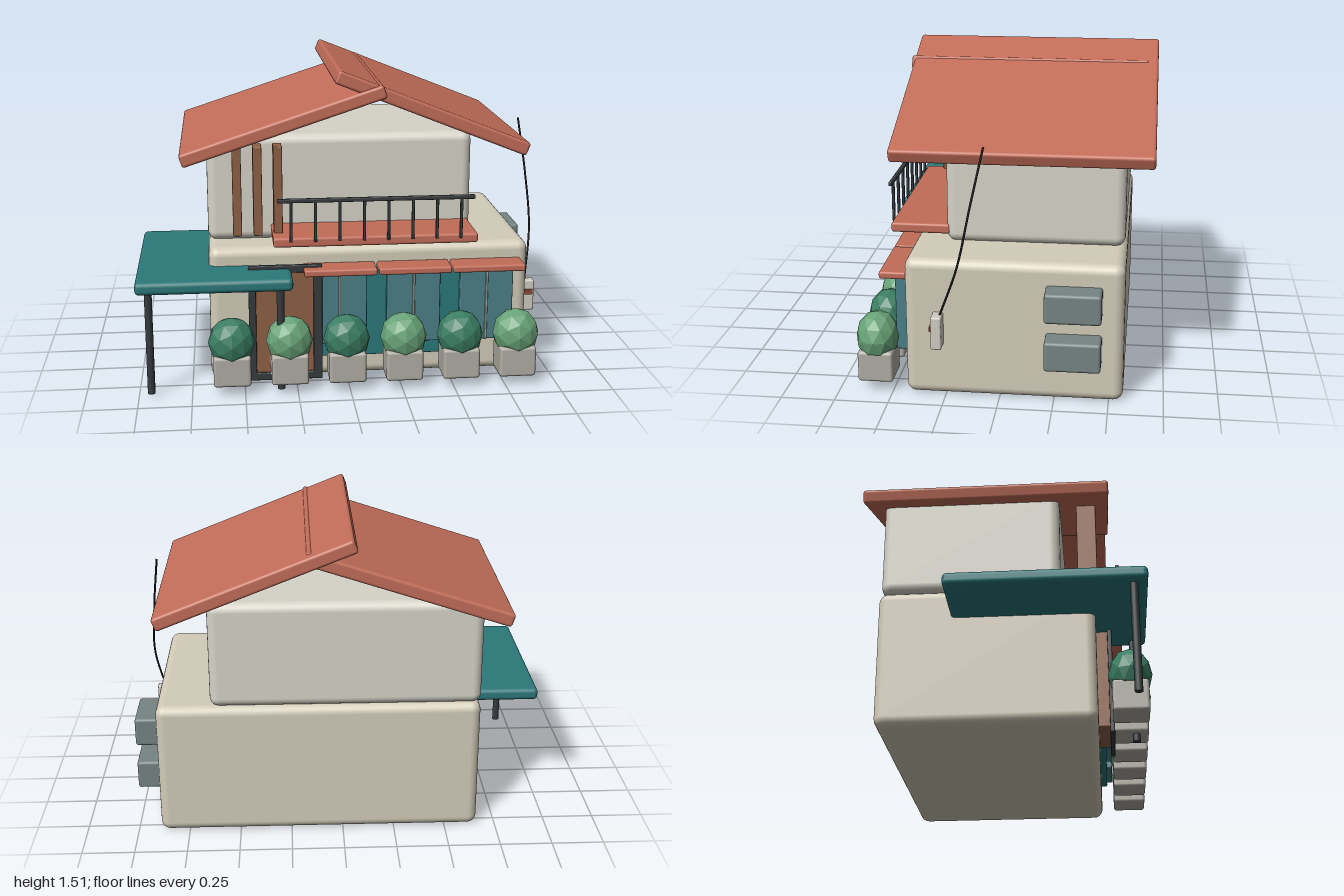
import * as THREE from 'three';
import { RoundedBoxGeometry } from 'three/addons/geometries/RoundedBoxGeometry.js';

const COLORS = {
  wall: 0xd3ccb9, upperWall: 0xd6d4c8, roof: 0xc26d58, teal: 0x2b787a, glass: 0x4b8088,
  wood: 0x8f6146, dark: 0x363b3d, planter: 0xb0aea4, leafDark: 0x3a7d63, leafLight: 0x68a377,
  unit: 0x758583, meter: 0xcfcdc2, rust: 0x8a4a38, frame: 0xa3a6a0, wire: 0x1c1c1c,
};

export function createModel() {
  const model = new THREE.Group();
  model.name = 'house';

  const materials = {};
  const material = (key) => (materials[key] ??= new THREE.MeshStandardMaterial({ color: COLORS[key] }));

  function add(name, geometry, color, parent = model) {
    const mesh = new THREE.Mesh(geometry, material(color));
    mesh.name = name;
    parent.add(mesh);
    return mesh;
  }

  // Rounded box given by its extents on each axis
  function block(name, [x0, x1], [y0, y1], [z0, z1], color, radius = 0.01, parent = model) {
    const size = [x1 - x0, y1 - y0, z1 - z0];
    const r = Math.min(radius, Math.min(...size) * 0.45);
    const mesh = add(name, new RoundedBoxGeometry(...size, 3, r), color, parent);
    mesh.position.set((x0 + x1) / 2, (y0 + y1) / 2, (z0 + z1) / 2);
    return mesh;
  }

  function group(name) {
    const g = new THREE.Group();
    g.name = name;
    model.add(g);
    return g;
  }

  // Two storeys
  block('lowerStorey', [-0.66, 0.89], [0, 0.66], [-0.565, 0.435], 'wall', 0.045);
  block('upperStorey', [-0.66, 0.63], [0.655, 1.175], [-0.555, 0.28], 'upperWall', 0.045);

  // Overlapping roof slopes
  const leftRoof = add('leftRoof', new RoundedBoxGeometry(1.0, 0.065, 1.15, 3, 0.014), 'roof');
  leftRoof.position.set(-0.302, 1.26, -0.062);
  leftRoof.rotation.z = 0.317;
  const rightRoof = add('rightRoof', new RoundedBoxGeometry(0.98, 0.065, 1.18, 3, 0.014), 'roof');
  rightRoof.position.set(0.403, 1.305, -0.092);
  rightRoof.rotation.z = -0.377;

  // Vertical timber slats
  const slats = group('timberSlats');
  for (const x of [-0.519, -0.422, -0.326]) {
    block('slat', [x - 0.021, x + 0.021], [0.725, 1.155], [0.357, 0.45], 'wood', 0.005, slats);
  }

  // Balcony and railing
  block('balconyFloor', [-0.355, 0.618], [0.69, 0.737], [0.262, 0.543], 'roof', 0.012);
  const railing = group('railing');
  block('topRail', [-0.336, 0.597], [0.908, 0.928], [0.537, 0.555], 'dark', 0.005, railing);
  for (let i = 0; i < 8; i++) {
    const x = -0.272 + i * 0.115;
    block('railPost', [x - 0.007, x + 0.007], [0.718, 0.918], [0.539, 0.553], 'dark', 0.004, railing);
  }

  // Side canopy on two posts
  block('canopy', [-1, -0.27], [0.514, 0.575], [-0.225, 0.667], 'teal', 0.022);
  for (const x of [-0.942, -0.328]) {
    const post = add('canopyPost', new THREE.CylinderGeometry(0.018, 0.018, 0.52, 16), 'dark');
    post.position.set(x, 0.272, 0.605);
  }

  // Front door with surround
  const door = group('frontDoor');
  block('doorPanel', [-0.45, -0.16], [0.045, 0.565], [0.43, 0.492], 'wood', 0.006, door);
  const z = [0.485, 0.506];
  block('leftJamb', [-0.475, -0.44], [0.012, 0.592], z, 'dark', 0.005, door);
  block('rightJamb', [-0.165, -0.123], [0.012, 0.592], z, 'dark', 0.005, door);
  block('lintel', [-0.475, -0.123], [0.555, 0.592], z, 'dark', 0.005, door);
  block('threshold', [-0.475, -0.123], [0.012, 0.05], z, 'dark', 0.005, door);

  // Shop front: teal backing, glazed pairs, small awnings
  block('shopFront', [-0.15, 0.65], [0.11, 0.55], [0.42, 0.465], 'teal', 0.008);
  const windows = group('windows');
  for (const x of [-0.038, 0.32, 0.677]) {
    block('glass', [x - 0.13, x + 0.13], [0.182, 0.55], [0.43, 0.492], 'glass', 0.006, windows);
    block('mullion', [x - 0.006, x + 0.006], [0.182, 0.55], [0.485, 0.502], 'frame', 0.004, windows);
    block('awning', [x - 0.174, x + 0.174], [0.545, 0.579], [0.43, 0.558], 'roof', 0.01, windows);
  }

  // Planters with faceted shrubs
  const leafMaterial = (color) => new THREE.MeshStandardMaterial({ color, flatShading: true });
  const leaves = [leafMaterial(COLORS.leafDark), leafMaterial(COLORS.leafLight)];
  const shrubGeometry = new THREE.IcosahedronGeometry(1, 1).scale(0.112, 0.12, 0.1);
  const planters = group('planters');
  for (let i = 0; i < 6; i++) {
    const x = -0.56 + i * 0.273;
    block('planter', [x - 0.088, x + 0.088], [0.047, 0.195], [0.498, 0.662], 'planter', 0.014, planters);
    const shrub = new THREE.Mesh(shrubGeometry, leaves[i % 2]);
    shrub.name = 'shrub';
    shrub.position.set(x, 0.247, 0.581);
    planters.add(shrub);
  }

  // Wall units on the side
  for (const y of [0.19, 0.42]) {
    block('wallUnit', [0.86, 1], [y, y + 0.14], [-0.465, -0.21], 'unit', 0.014);
  }

  // Meter box with its cable
  block('meterBox', [0.88, 0.963], [0.255, 0.412], [0.256, 0.304], 'meter', 0.008);
  block('meterPlate', [0.892, 0.955], [0.338, 0.366], [0.295, 0.312], 'rust', 0.004);
  const path = new THREE.CatmullRomCurve3([
    new THREE.Vector3(0.92, 0.405, 0.268),
    new THREE.Vector3(0.957, 0.66, 0.178),
    new THREE.Vector3(0.94, 0.925, 0.122),
    new THREE.Vector3(0.907, 1.198, 0.063),
  ]);
  add('cable', new THREE.TubeGeometry(path, 24, 0.005, 8), 'wire');

  return model;
}
